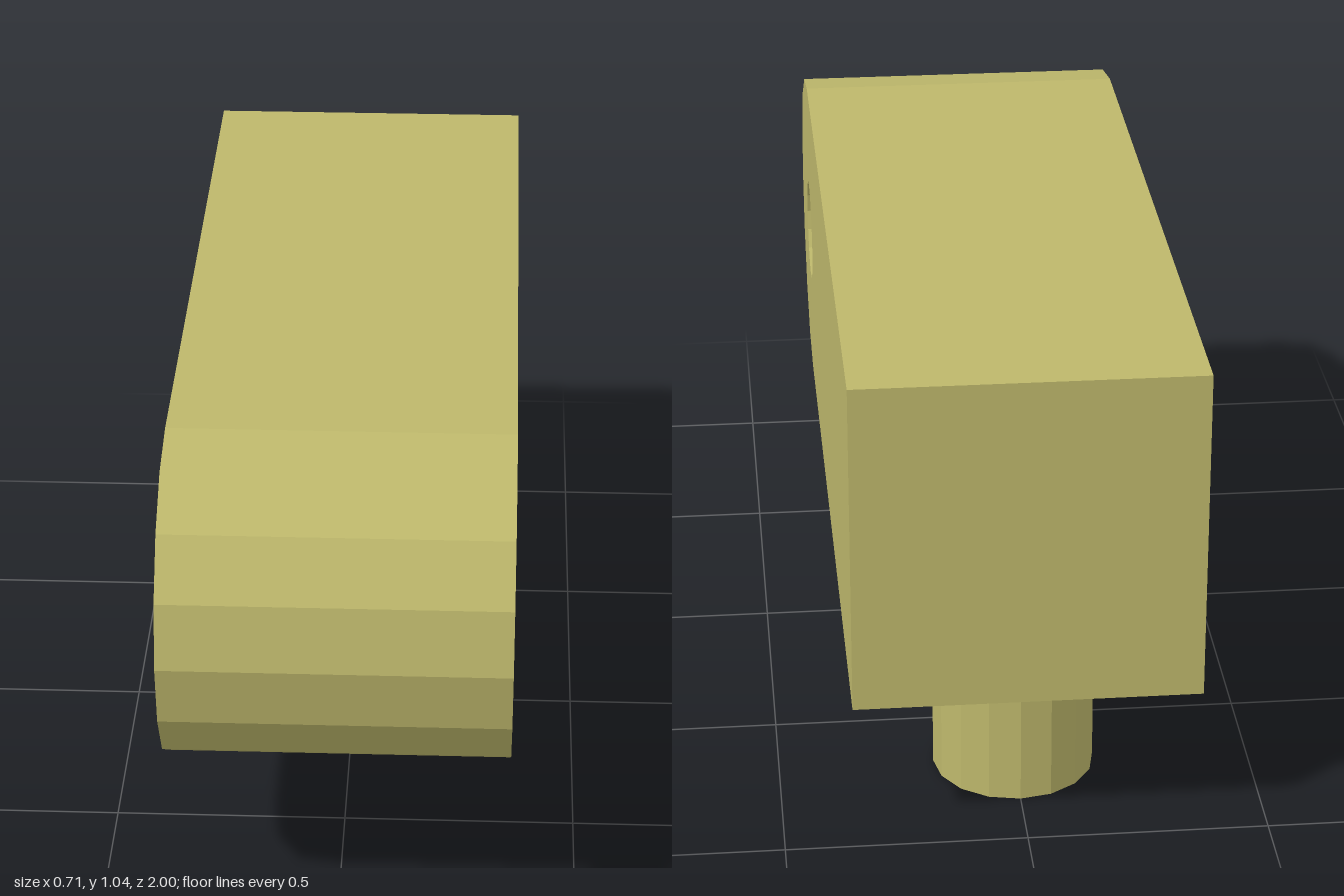
import * as THREE from 'three';

const material = new THREE.MeshStandardMaterial({ color: 0xbdb76b, flatShading: true });

const HALF = 0.357;     // half width, half height and nose radius of the body
const BOTTOM = 0.324;   // underside of the body
const AXIS_Y = BOTTOM + HALF;
const AXIS_Z = 1 - HALF;

// Points along an arc around the pivot axis, as (z, y)
function arc(radius, start, end, steps) {
  return Array.from({ length: steps + 1 }, (_, i) => {
    const a = start + (end - start) * i / steps;
    return new THREE.Vector2(AXIS_Z + radius * Math.cos(a), AXIS_Y + radius * Math.sin(a));
  });
}

// Block with a rounded nose and a pivot hole, extruded across the width
function createBody() {
  const shape = new THREE.Shape([
    new THREE.Vector2(-1, BOTTOM + 2 * HALF),
    new THREE.Vector2(-1, BOTTOM),
    ...arc(HALF, -Math.PI / 2, Math.PI / 2, 8),
  ]);
  shape.holes.push(new THREE.Path(arc(0.115, 0, -2 * Math.PI, 16).slice(0, -1)));
  const geometry = new THREE.ExtrudeGeometry(shape, { depth: 2 * HALF, bevelEnabled: false });
  geometry.translate(0, 0, -HALF);
  geometry.rotateY(-Math.PI / 2);
  const body = new THREE.Mesh(geometry, material);
  body.name = 'body';
  return body;
}

// Round peg hanging from the underside
function createPeg(name, radius, tipY, z) {
  const height = BOTTOM - tipY;
  const peg = new THREE.Mesh(new THREE.CylinderGeometry(radius, radius, height, 16), material);
  peg.position.set(0, tipY + height / 2, z);
  peg.name = name;
  return peg;
}

export function createModel() {
  const model = new THREE.Group();
  model.name = 'pivotBlock';
  model.add(
    createBody(),
    createPeg('largePeg', 0.171, 0, -0.677),
    createPeg('smallPeg', 0.071, 0.108, -0.283),
  );
  return model;
}
